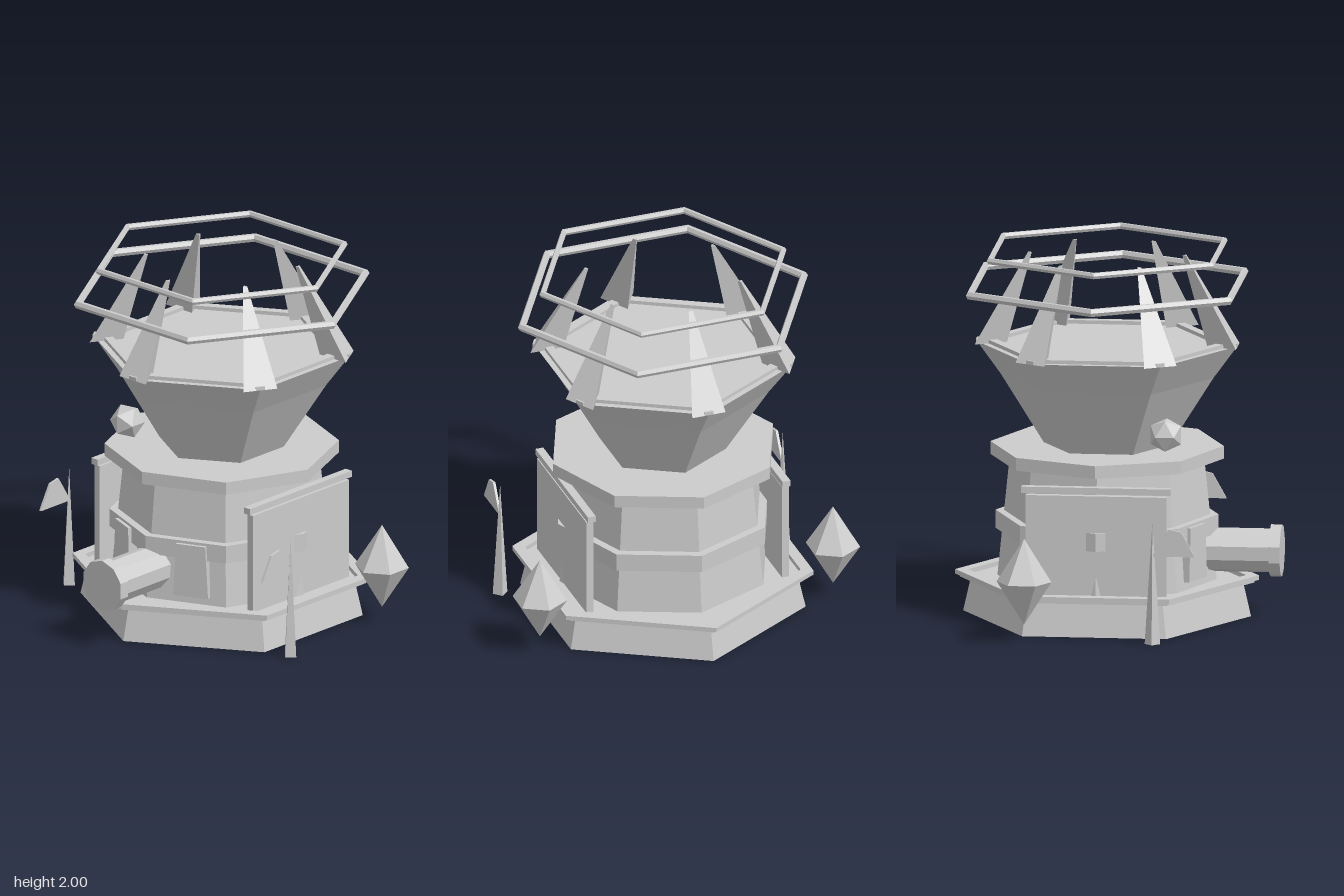
import * as THREE from 'three';

const CENTER_Z = -0.06;

export function createModel() {
  const root = new THREE.Group();
  root.name = 'towerModel';
  const mat = new THREE.MeshStandardMaterial({ color: 0xcccccc, flatShading: true });
  const thinMat = new THREE.MeshStandardMaterial({ color: 0xcccccc, flatShading: true, side: THREE.DoubleSide });

  const add = (parent, name, geo, x = 0, y = 0, z = 0, material = mat) => {
    const mesh = new THREE.Mesh(geo, material);
    mesh.name = name;
    mesh.position.set(x, y, z);
    parent.add(mesh);
    return mesh;
  };
  // Faceted solid of revolution, a corner facing the front
  const turned = (sides, profile) =>
    new THREE.LatheGeometry(profile.map(([r, y]) => new THREE.Vector2(r, y)), sides);
  // Faceted hollow ring
  const band = (sides, inner, outer, y0, y1) =>
    turned(sides, [[inner, y0], [outer, y0], [outer, y1], [inner, y1], [inner, y0]]);

  const tower = new THREE.Group();
  tower.name = 'tower';
  tower.position.z = CENTER_Z;
  root.add(tower);

  // Six-sided base with a raised rim
  add(tower, 'base', turned(6, [[0, 0], [0.777, 0], [0.735, 0.185], [0.795, 0.185], [0.795, 0.2], [0, 0.2]]));
  add(tower, 'baseRim', band(6, 0.75, 0.82, 0.2, 0.225));

  // Eight-sided body, belt and lid
  add(tower, 'body', turned(8, [[0, 0.2], [0.592, 0.2], [0.525, 0.86], [0, 0.86]]));
  add(tower, 'belt', band(8, 0.54, 0.602, 0.455, 0.555));
  add(tower, 'lid', turned(8, [[0, 0.86], [0.63, 0.86], [0.63, 0.93], [0, 0.93]]));

  // Flared six-sided bowl
  add(tower, 'bowl', turned(6, [[0, 0.93], [0.342, 0.93], [0.458, 1.115], [0.574, 1.3], [0.702, 1.475], [0, 1.475]]));
  add(tower, 'bowlRim', band(6, 0.61, 0.665, 1.475, 1.495));

  // Leaning three-sided spikes with studs on the bowl corners
  const spikeHeight = 0.495;
  const spikeGeo = new THREE.CylinderGeometry(0.014, 0.11, spikeHeight, 3);
  spikeGeo.rotateY(Math.PI);
  const p = spikeGeo.attributes.position;
  for (let i = 0; i < p.count; i++) {
    const t = p.getY(i) / spikeHeight + 0.5;
    p.setZ(i, p.getZ(i) + 0.65 - 0.23 * t);
  }
  const studGeo = new THREE.BoxGeometry(0.05, 0.02, 0.03);
  for (let i = 0; i < 6; i++) {
    const corner = new THREE.Group();
    corner.name = 'crownCorner';
    corner.rotation.y = (i * Math.PI) / 3;
    tower.add(corner);
    add(corner, 'spike', spikeGeo, 0, 1.475 + spikeHeight / 2, 0);
    add(corner, 'stud', studGeo, 0, 1.485, 0.69);
  }

  // Two floating six-sided rings
  for (const [name, y, radius, tube] of [['lowerRing', 1.805, 0.808, 0.023], ['upperRing', 1.984, 0.69, 0.0185]]) {
    const ring = new THREE.TorusGeometry(radius, tube, 6, 6);
    ring.rotateX(Math.PI / 2);
    add(tower, name, ring, 0, y, 0);
  }

  // Cannon at the front
  const barrel = new THREE.CylinderGeometry(0.12, 0.12, 0.43, 10).rotateX(Math.PI / 2);
  const muzzle = new THREE.CylinderGeometry(0.143, 0.143, 0.06, 10).rotateX(Math.PI / 2);
  add(root, 'cannonBarrel', barrel, 0, 0.363, 0.615);
  add(root, 'cannonMuzzle', muzzle, 0, 0.363, 0.855);

  // Shared outlines of the shield plates and pennants
  const shape = (pts) => new THREE.Shape(pts.map(([x, y]) => new THREE.Vector2(x, y)));
  const shieldGeo = new THREE.ExtrudeGeometry(
    shape([[-0.1, 0.245], [0.1, 0.245], [0.083, 0.54], [-0.083, 0.54]]), { depth: 0.08, bevelEnabled: false });
  const pennantGeo = new THREE.ExtrudeGeometry(
    shape([[0, 0.48], [0.23, 0.48], [0.155, 0.615], [0.09, 0.63], [0.015, 0.51]]), { depth: 0.014, bevelEnabled: false });
  pennantGeo.translate(0, 0, -0.007).rotateY(-Math.PI / 2);

  for (const side of [-1, 1]) {
    // Shield plates beside the cannon
    const shield = new THREE.Group();
    shield.name = 'shieldMount';
    shield.rotation.y = (side * Math.PI) / 8;
    tower.add(shield);
    add(shield, 'shieldPlate', shieldGeo, side * 0.035, 0, 0.495);

    // Side wall with a top rail
    add(tower, 'sideWall', new THREE.BoxGeometry(0.04, 0.555, 0.76), side * 0.56, 0.4775, 0);
    add(tower, 'sideWallRail', new THREE.BoxGeometry(0.045, 0.035, 0.805), side * 0.558, 0.783, 0);

    // Pointed mast with a pennant
    add(root, 'mast', new THREE.ConeGeometry(0.042, 0.667, 4), side * 0.81, 0.3335, 0.27);
    add(root, 'pennant', pennantGeo, side * 0.81, 0, 0.27, thinMat);

    // Large six-sided crystal
    add(root, 'crystal', turned(6, [[0, -0.235], [0.148, 0], [0, 0.235]]), side * 0.84, 0.333, -0.42);
  }

  // Small floating gem
  add(root, 'gem', new THREE.IcosahedronGeometry(0.096, 0), -0.36, 1.055, 0.295);

  return root;
}
